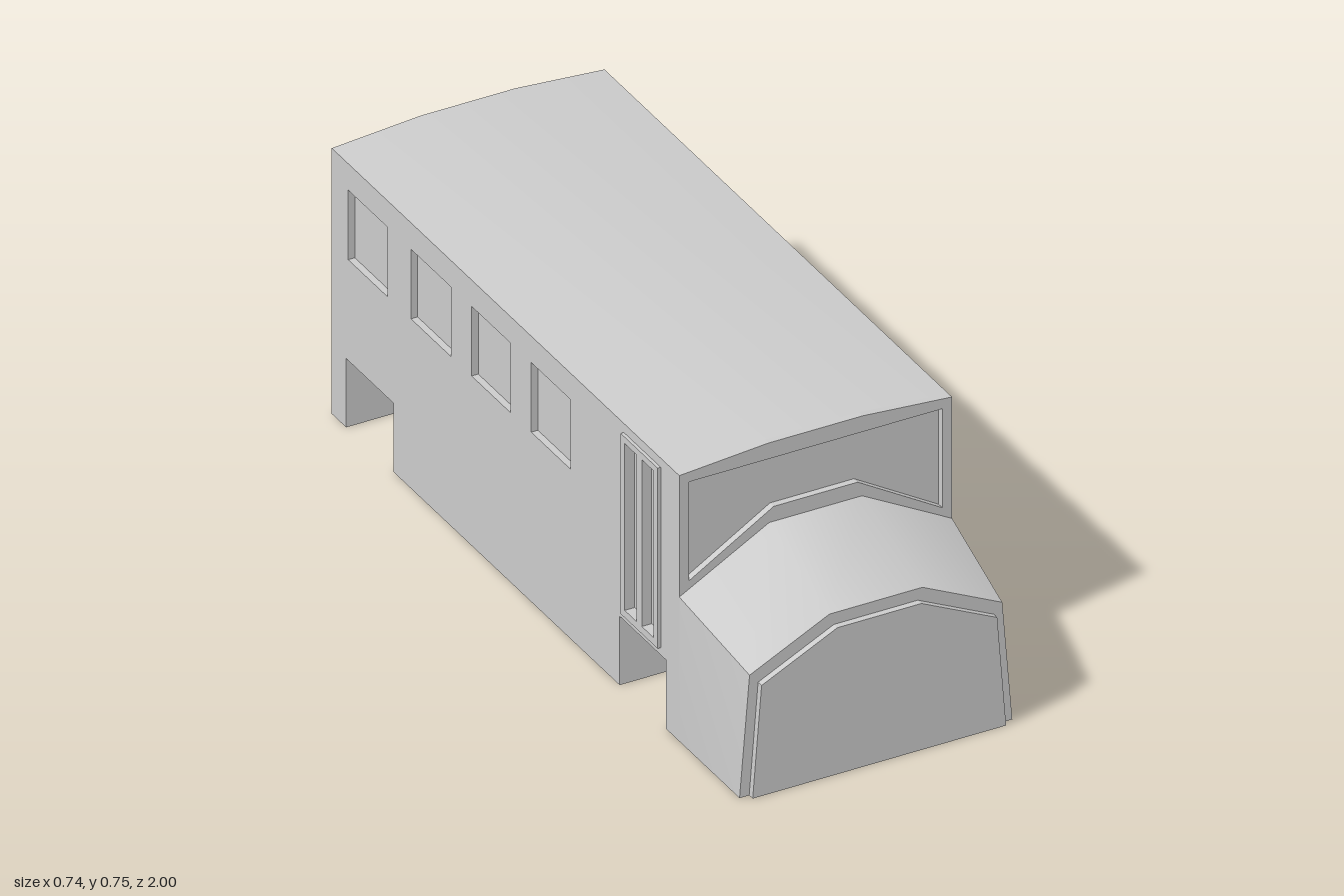
import * as THREE from 'three';
import { toCreasedNormals } from 'three/addons/utils/BufferGeometryUtils.js';
import { ConvexGeometry } from 'three/addons/geometries/ConvexGeometry.js';

const W = 0.367;          // half width of the body
const RECESS = 0.018;     // depth of window recesses
const WELL = 0.18;        // depth of wheel wells
const BACK = -1, CABIN = 0.69, NOSE = 0.983, EAVES = 0.733;
const INNER = CABIN - RECESS;

const material = new THREE.MeshStandardMaterial({ color: 0xcccccc });

const points = (list) => list.map(([x, y]) => new THREE.Vector2(x, y));
const rect = (x0, y0, x1, y1) => [[x0, y0], [x1, y0], [x1, y1], [x0, y1]];
// Completes a symmetric outline from its right half
const mirrored = (half) => [...half, ...half.map(([x, y]) => [-x, y]).reverse()];

function extrude(outline, holes, depth) {
  const shape = new THREE.Shape(points(outline));
  for (const hole of holes) shape.holes.push(new THREE.Path(points(hole)));
  return new THREE.ExtrudeGeometry(shape, { depth, bevelEnabled: false });
}

// Plate drawn in (x, y), running from z0 to z1
const frontPlate = (outline, holes, z0, z1) =>
  extrude(outline, holes, z1 - z0).translate(0, 0, z0);

// Plate drawn in (z, y), running from x0 to x1
const sidePlate = (outline, holes, x0, x1) =>
  extrude(outline, holes, x1 - x0).rotateY(-Math.PI / 2).translate(x1, 0, 0);

export function createModel() {
  const model = new THREE.Group();
  model.name = 'bus';
  const add = (name, geometry) => {
    const mesh = new THREE.Mesh(geometry, material);
    mesh.name = name;
    mesh.position.x = 0.0035;
    model.add(mesh);
  };

  // Side profile with notches for the wheel wells
  const profile = [
    [BACK, 0], [-0.93, 0], [-0.93, 0.19], [-0.7, 0.19], [-0.7, 0],
    [0.4, 0], [0.4, 0.19], [0.625, 0.19], [0.625, 0],
    [INNER, 0], [INNER, EAVES], [BACK, EAVES],
  ];
  const windows = [[-0.92, -0.73], [-0.615, -0.42], [-0.32, -0.13], [-0.03, 0.16]]
    .map(([a, b]) => rect(a, 0.468, b, 0.66));
  const doorPanels = [[0.44, 0.497], [0.523, 0.58]]
    .map(([a, b]) => rect(a, 0.23, b, 0.69));

  // Cabin core between the wheel wells
  const hub = W - WELL;
  add('cabinCore', sidePlate(rect(BACK, 0, INNER, EAVES), [], -hub, hub));

  // Notched side blocks, whose outer faces are the window panes
  const pane = W - RECESS;
  add('leftSideBlock', sidePlate(profile, [], hub, pane));
  add('rightSideBlock', sidePlate(profile, [], -pane, -hub));

  // Outer walls with window openings
  add('leftWall', sidePlate(profile, windows, pane, W));
  add('rightWall', sidePlate(profile, [...windows, ...doorPanels], -W, -pane));

  // Entrance door standing slightly proud of the right wall
  add('door', sidePlate(rect(0.42, 0.21, 0.6, 0.708), doorPanels, -W - 0.0085, -W));

  // Shallow faceted roof
  const roof = mirrored([[W, EAVES], [0.127, 0.752]]);
  add('roof', toCreasedNormals(frontPlate(roof, [], BACK, INNER), 0.5));

  // Cabin front with windshield opening
  const cabinFront = mirrored([[W, 0], [W, EAVES], [0.127, 0.752]]);
  const windshield = mirrored([[0.113, 0.573], [0.341, 0.435], [0.341, 0.708]]);
  add('windshieldFrame', frontPlate(cabinFront, [windshield], INNER, CABIN));

  // Tapered hood
  const section = (half, z) => mirrored(half).map(([x, y]) => new THREE.Vector3(x, y, z));
  const hood = new ConvexGeometry([
    ...section([[W, 0], [W, 0.398], [0.125, 0.532]], CABIN),
    ...section([[W, 0], [0.34, 0.331], [0.125, 0.436]], NOSE),
  ]);
  add('hood', toCreasedNormals(hood, 0.6));

  // Raised grille plate on the nose
  const grille = mirrored([[0.341, 0], [0.317, 0.305], [0.113, 0.404]]);
  add('grille', frontPlate(grille, [], NOSE, 1));

  return model;
}
